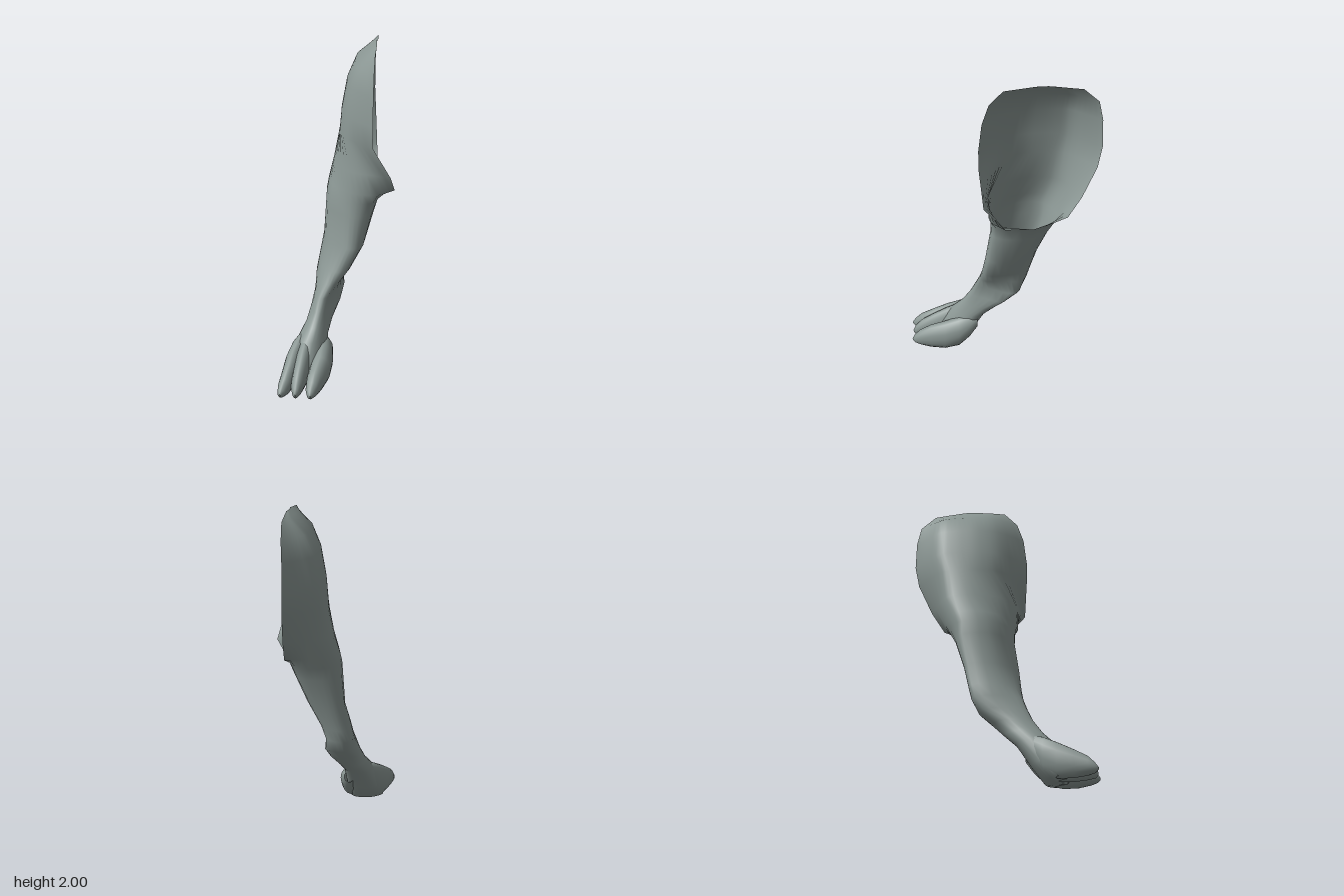
import * as THREE from 'three';
import { mergeVertices } from 'three/addons/utils/BufferGeometryUtils.js';

// Skins rows of points (equal counts) into one smooth surface.
function skin(rows) {
  const n = rows[0].length;
  const index = [];
  for (let r = 0; r < rows.length - 1; r++) {
    for (let c = 0; c < n - 1; c++) {
      const a = r * n + c, b = a + n;
      index.push(a, a + 1, b, a + 1, b + 1, b);
    }
  }
  const geometry = new THREE.BufferGeometry().setFromPoints(rows.flat());
  geometry.setIndex(index);
  const merged = mergeVertices(geometry, 1e-4);
  merged.computeVertexNormals();
  return merged;
}

// Horizontal section: 8 points make a closed ring, 9 make an open one.
function section(y, xz) {
  const points = [];
  for (let i = 0; i < xz.length; i += 2) points.push(new THREE.Vector3(xz[i], y, xz[i + 1]));
  return new THREE.CatmullRomCurve3(points, points.length === 8).getPoints(24);
}

// Open shoulder section from front rim to back rim, bulging out to x = outer.
const bulge = [[0, 0], [0.14, 0.5], [0.25, 0.8], [0.38, 0.95], [0.5, 1], [0.64, 1], [0.74, 0.93], [0.87, 0.5], [1, 0]];
function shoulderSection([y, x0, z0, x1, z1, outer]) {
  const { lerp } = THREE.MathUtils;
  return section(y, bulge.flatMap(([f, d]) => [lerp(lerp(x0, x1, f), outer, d), lerp(z0, z1, f)]));
}

// y, front rim x z, back rim x z, outer x
const shoulder = [
  [2.0, 0.2, -0.18, 0.2, -0.28, 0.195],
  [1.975, 0.2, 0.0, 0.19, -0.45, 0.165],
  [1.89, 0.2, 0.08, 0.175, -0.54, 0.07],
  [1.77, 0.2, 0.12, 0.167, -0.565, 0.02],
  [1.6, 0.2, 0.14, 0.167, -0.57, -0.01],
  [1.47, 0.2, 0.138, 0.175, -0.545, -0.02],
];

// y, then x z pairs: inner, front, outer, back
const upperLeg = [
  [1.28, [0.305, 0.115, 0.2, 0.09, 0.09, 0.06, 0, -0.03, -0.05, -0.16, -0.05, -0.29, 0, -0.36, 0.1, -0.41, 0.19, -0.46]],
  [1.15, [0.325, -0.01, 0.23, 0.075, 0.1, 0.07, 0, 0, -0.07, -0.1, -0.08, -0.25, -0.02, -0.32, 0.1, -0.36, 0.2, -0.38]],
  [1.085, [0.22, -0.18, 0.2, 0.04, 0.1, 0.07, 0, 0.02, -0.08, -0.08, -0.09, -0.23, -0.02, -0.3, 0.12, -0.32]],
  [1.0, [0.2, -0.12, 0.17, 0.04, 0.09, 0.07, 0, 0.03, -0.085, -0.07, -0.09, -0.23, 0, -0.28, 0.13, -0.26]],
  [0.8, [0.14, -0.05, 0.13, 0.07, 0.07, 0.1, 0, 0.06, -0.09, -0.04, -0.105, -0.19, -0.03, -0.22, 0.07, -0.18]],
  [0.65, [0.055, -0.03, 0.055, 0.09, 0, 0.12, -0.06, 0.09, -0.125, 0, -0.13, -0.16, -0.07, -0.185, 0.02, -0.14]],
];
const lowerLeg = [
  [0.57, [0, -0.03, 0, 0.09, -0.04, 0.135, -0.09, 0.12, -0.14, 0.02, -0.145, -0.14, -0.09, -0.165, 0.005, -0.12]],
  [0.49, [0.02, -0.05, -0.04, 0.08, -0.08, 0.16, -0.125, 0.15, -0.15, 0.05, -0.14, -0.09, -0.08, -0.125, 0.01, -0.1]],
  [0.41, [0, 0, -0.05, 0.11, -0.1, 0.195, -0.14, 0.19, -0.17, 0.1, -0.15, 0, -0.09, -0.035, -0.02, -0.03]],
  [0.33, [-0.04, 0.09, -0.065, 0.18, -0.12, 0.25, -0.165, 0.24, -0.195, 0.16, -0.17, 0.07, -0.12, 0.03, -0.06, 0.045]],
  [0.26, [-0.06, 0.16, -0.08, 0.24, -0.14, 0.31, -0.2, 0.3, -0.235, 0.22, -0.21, 0.13, -0.15, 0.1, -0.09, 0.11]],
  [0.12, [-0.06, 0.27, -0.09, 0.34, -0.16, 0.4, -0.23, 0.38, -0.27, 0.3, -0.24, 0.22, -0.17, 0.19, -0.09, 0.2]],
  [0.02, [-0.07, 0.32, -0.1, 0.37, -0.17, 0.4, -0.24, 0.38, -0.28, 0.34, -0.24, 0.29, -0.17, 0.26, -0.1, 0.27]],
];

// Toe stations: z, centre x, half width, top y, bottom y
const toes = {
  outerToe: [
    [0.18, -0.19, 0.03, 0.3, 0.18], [0.26, -0.225, 0.055, 0.27, 0.06], [0.34, -0.255, 0.052, 0.225, 0.012],
    [0.43, -0.272, 0.045, 0.175, 0.005], [0.51, -0.291, 0.037, 0.125, 0.01], [0.55, -0.305, 0.022, 0.08, 0.018],
    [0.57, -0.31, 0.002, 0.05, 0.035],
  ],
  middleToe: [
    [0.2, -0.165, 0.03, 0.3, 0.18], [0.28, -0.18, 0.055, 0.275, 0.04], [0.35, -0.195, 0.05, 0.235, 0.012],
    [0.43, -0.205, 0.045, 0.185, 0.005], [0.51, -0.215, 0.035, 0.13, 0.01], [0.55, -0.218, 0.02, 0.085, 0.018],
    [0.565, -0.22, 0.002, 0.05, 0.035],
  ],
  innerToe: [
    [0.15, -0.09, 0.03, 0.24, 0.17], [0.2, -0.085, 0.058, 0.25, 0.1], [0.27, -0.085, 0.066, 0.235, 0.03],
    [0.36, -0.09, 0.062, 0.2, 0.005], [0.45, -0.11, 0.052, 0.16, 0], [0.52, -0.123, 0.038, 0.115, 0.01],
    [0.555, -0.13, 0.02, 0.075, 0.02], [0.57, -0.13, 0.002, 0.05, 0.035],
  ],
};

function toeRing([z, x, w, top, bottom]) {
  return Array.from({ length: 17 }, (_, i) => {
    const a = (i % 16) / 16 * Math.PI * 2;
    return new THREE.Vector3(x + w * Math.cos(a), (top + bottom) / 2 + (top - bottom) / 2 * Math.sin(a), z);
  });
}

export function createModel() {
  const group = new THREE.Group();
  const hide = new THREE.MeshStandardMaterial({ color: 0x8b9794, side: THREE.DoubleSide });
  hide.name = 'greyHide';
  const add = (name, rows) => {
    const mesh = new THREE.Mesh(skin(rows), hide);
    mesh.name = name;
    group.add(mesh);
  };

  // Hollow shoulder running down into the leg, closed under the foot
  const sole = Array.from({ length: 25 }, () => new THREE.Vector3(-0.17, 0.015, 0.33));
  add('leg', [
    ...shoulder.map(shoulderSection),
    ...[...upperLeg, ...lowerLeg].map(([y, xz]) => section(y, xz)),
    sole,
  ]);

  // Three pointed toes
  for (const [name, stations] of Object.entries(toes)) add(name, stations.map(toeRing));

  return group;
}
